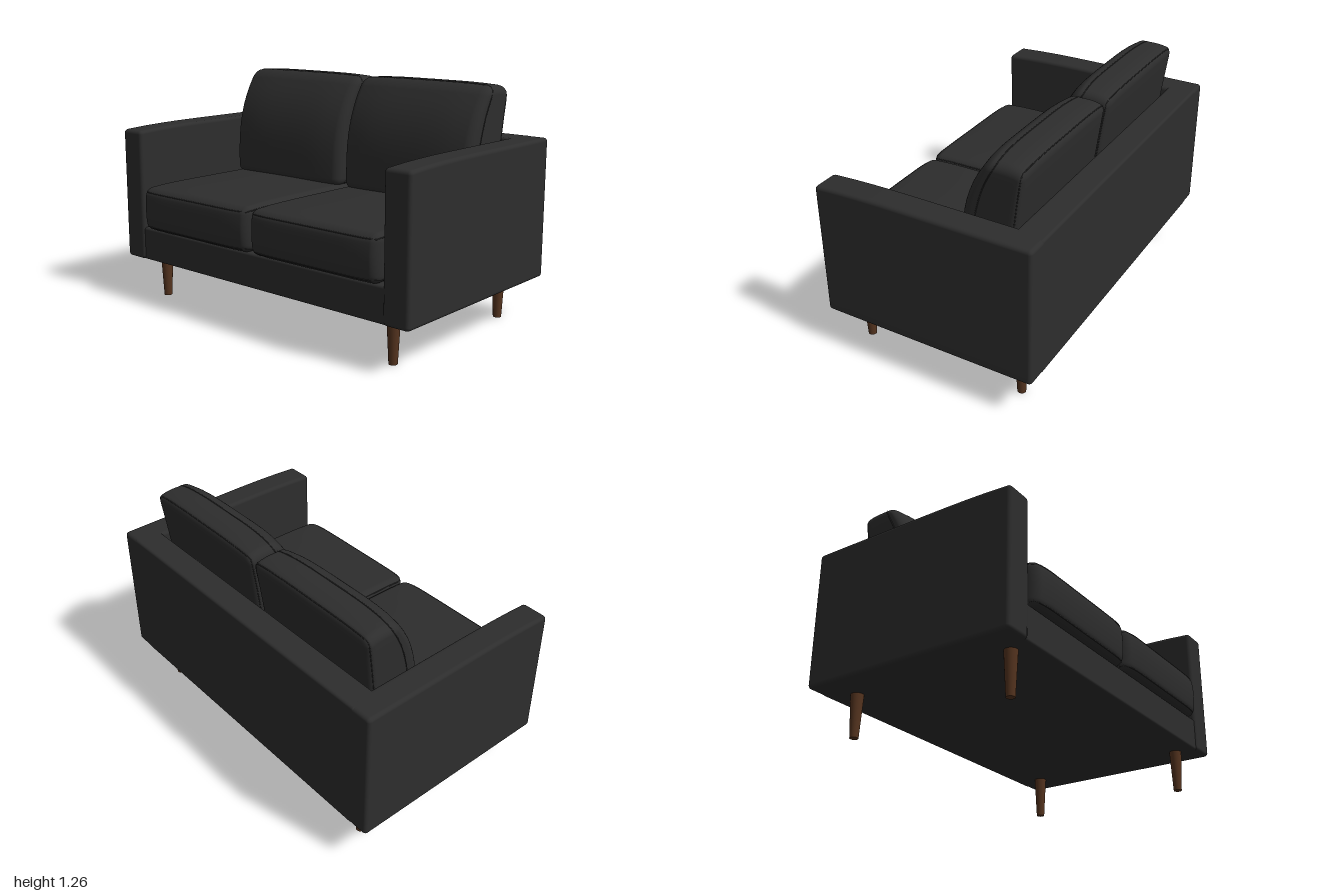
import * as THREE from 'three';
import { mergeVertices } from 'three/addons/utils/BufferGeometryUtils.js';

// Pull a point on a box's surface onto the rounded version of that box
function roundPoint(p, half, r) {
  const inner = half.clone().subScalar(r);
  const core = p.clone().clamp(inner.clone().negate(), inner);
  const d = p.clone().sub(core);
  return d.lengthSq() > 0 ? core.add(d.setLength(r)) : core;
}

// Rounded block with grid lines gathered at its edges, bent by an optional warp
function softBlock(w, h, d, r, warp = (p) => p, edge = 4, mid = 10) {
  const n = edge * 2 + mid;
  const half = new THREE.Vector3(w / 2, h / 2, d / 2);
  let geo = new THREE.BoxGeometry(2, 2, 2, n, n, n);
  const spread = (t, size) => {
    const i = Math.round(((t + 1) / 2) * n);
    if (i <= edge) return -size + (r * i) / edge;
    if (i >= n - edge) return size - (r * (n - i)) / edge;
    return (size - r) * ((2 * (i - edge)) / mid - 1);
  };
  const pos = geo.attributes.position;
  const p = new THREE.Vector3();
  for (let i = 0; i < pos.count; i++) {
    p.fromBufferAttribute(pos, i);
    p.set(spread(p.x, half.x), spread(p.y, half.y), spread(p.z, half.z));
    const q = warp(roundPoint(p, half, r), half);
    pos.setXYZ(i, q.x, q.y, q.z);
  }
  geo.deleteAttribute('normal');
  geo.deleteAttribute('uv');
  geo = mergeVertices(geo, 1e-5);
  geo.computeVertexNormals();
  return geo;
}

// Thin piping around a cushion, following its rounded and warped surface
function seam(w, h, d, r, warp, axis, level) {
  const half = new THREE.Vector3(w / 2, h / 2, d / 2);
  const a = half.x, b = axis === 'y' ? half.z : half.y;
  const corners = [[-a, -b], [a, -b], [a, b], [-a, b]];
  const steps = [0, 0.02, 0.04, 0.1, 0.25, 0.5, 0.75, 0.9, 0.96, 0.98];
  const points = [];
  corners.forEach(([x0, y0], i) => {
    const [x1, y1] = corners[(i + 1) % 4];
    for (const t of steps) {
      const u = x0 + (x1 - x0) * t, v = y0 + (y1 - y0) * t;
      const p = axis === 'y' ? new THREE.Vector3(u, level, v) : new THREE.Vector3(u, v, level);
      points.push(warp(roundPoint(p, half, r), half));
    }
  });
  return new THREE.TubeGeometry(new THREE.CatmullRomCurve3(points, true), 120, 0.003, 5, true);
}

// Seat: crowned top, bowed front, softened front corners
function seatWarp(p, half) {
  const u = p.x / half.x, v = p.y / half.y, w = p.z / half.z;
  const q = p.clone();
  if (v > 0) q.y += 0.012 * v * (1 - u * u) * (1 - w * w) - 0.012 * v * Math.max(0, w) ** 6;
  if (w > 0) q.z += w * (0.012 * (1 - v * v) - 0.025 * u ** 10);
  return q;
}

// Back cushion: leaning rear face and a front face that curls back to the top
function backWarp(p, half) {
  const u = p.x / half.x, v = p.y / half.y, w = p.z / half.z;
  const s = (v + 1) / 2;
  const y = 0.95 + p.y - 0.012 * s * u ** 4 - 0.018 * s * Math.max(0, -w) ** 2;
  const rear = -0.405 - 0.073 * s;
  const front = -0.1 - 0.17 * s ** 3 - 0.03 * u ** 4;
  const x = p.x * (0.975 + 0.025 * s);
  return new THREE.Vector3(x, y, rear + ((front - rear) * (w + 1)) / 2);
}

// Arm: top dips gently towards the front
function armWarp(p, half) {
  const q = p.clone();
  if (p.y > 0) q.y -= 0.016 * Math.max(0, p.z / half.z) ** 3 * (p.y / half.y);
  return q;
}

export function createModel() {
  const model = new THREE.Group();
  const leather = new THREE.MeshStandardMaterial({ color: 0x2d2d2d });
  leather.name = 'charcoal upholstery';
  const wood = new THREE.MeshStandardMaterial({ color: 0x55341f });
  wood.name = 'walnut wood';

  const add = (name, geo, mat, x = 0, y = 0, z = 0, parent = model) => {
    const mesh = new THREE.Mesh(geo, mat);
    mesh.name = name;
    mesh.position.set(x, y, z);
    parent.add(mesh);
    return mesh;
  };

  // Frame
  add('base', softBlock(1.8, 0.185, 1.18, 0.014), leather, 0, 0.3175, -0.02);
  add('backrest', softBlock(1.8, 0.745, 0.15, 0.014), leather, 0, 0.5975, -0.535);
  const armGeo = softBlock(0.15, 0.745, 1.19, 0.02, armWarp);
  const seatSize = [0.82, 0.245, 1.02, 0.04];
  const seatGeo = softBlock(...seatSize, seatWarp);
  const backSize = [0.83, 0.61, 0.34, 0.045];
  const backGeo = softBlock(...backSize, backWarp);
  const legGeo = new THREE.CylinderGeometry(0.034, 0.022, 0.23, 20);

  for (const [side, s] of [['left', 1], ['right', -1]]) {
    add(side + 'Arm', armGeo, leather, s * 0.925, 0.5975, -0.015);

    // Seat cushion with piping along its top and bottom edges
    const seat = new THREE.Group();
    seat.name = side + 'SeatCushion';
    seat.position.set(s * 0.417 + 0.004, 0.5325, 0.095);
    add('seatPad', seatGeo, leather, 0, 0, 0, seat);
    add('seatTopSeam', seam(...seatSize, seatWarp, 'y', 0.105), leather, 0, 0, 0, seat);
    add('seatBottomSeam', seam(...seatSize, seatWarp, 'y', -0.105), leather, 0, 0, 0, seat);
    model.add(seat);

    // Back cushion with piping in front of and behind its side band
    const back = new THREE.Group();
    back.name = side + 'BackCushion';
    back.position.x = s * 0.423;
    add('backPad', backGeo, leather, 0, 0, 0, back);
    add('backFrontSeam', seam(...backSize, backWarp, 'z', 0.09), leather, 0, 0, 0, back);
    add('backRearSeam', seam(...backSize, backWarp, 'z', -0.15), leather, 0, 0, 0, back);
    model.add(back);

    // Tapered legs
    add(side + 'FrontLeg', legGeo, wood, s * 0.815 + 0.008, 0.115, 0.455);
    add(side + 'RearLeg', legGeo, wood, s * 0.815 + 0.008, 0.115, -0.46);
  }
  return model;
}
